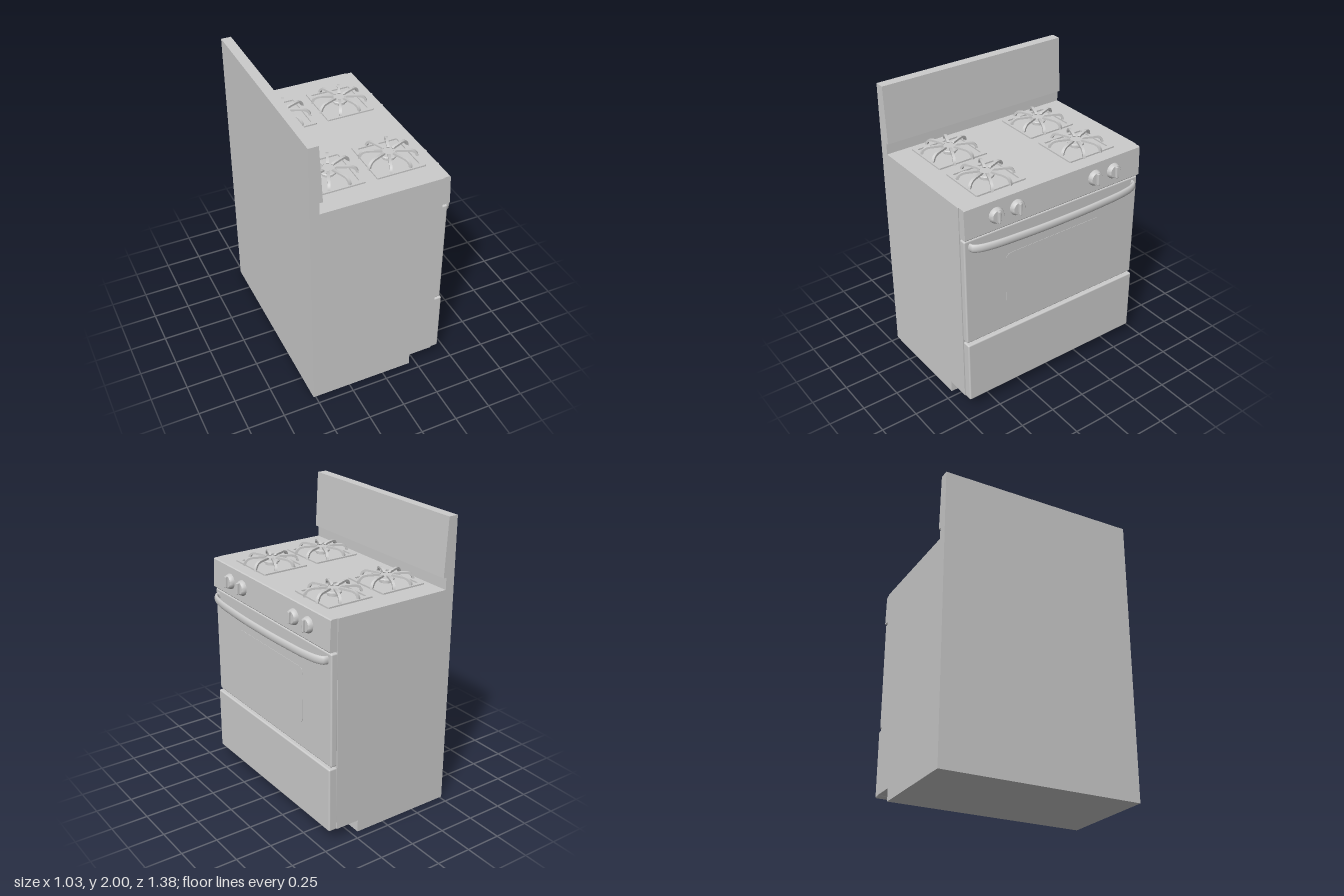
import * as THREE from 'three';
import { RoundedBoxGeometry } from 'three/addons/geometries/RoundedBoxGeometry.js';
import { toCreasedNormals } from 'three/addons/utils/BufferGeometryUtils.js';

const grey = new THREE.MeshStandardMaterial({ color: 0xcccccc });

function add(parent, name, geometry, x = 0, y = 0, z = 0) {
  const mesh = new THREE.Mesh(geometry, grey);
  mesh.name = name;
  mesh.position.set(x, y, z);
  parent.add(mesh);
  return mesh;
}

// Extrude an x-y outline along z, centred on z = 0
function slab(points, depth) {
  const shape = new THREE.Shape(points.map(([x, y]) => new THREE.Vector2(x, y)));
  return new THREE.ExtrudeGeometry(shape, { depth, bevelEnabled: false }).translate(0, 0, -depth / 2);
}

// Front plate between two x and two y limits, with softened edges
function plate(x0, x1, y0, y1, width) {
  return new RoundedBoxGeometry(x1 - x0, y1 - y0, width, 3, 0.01)
    .translate((x0 + x1) / 2, (y0 + y1) / 2, 0);
}

function roundedRect(w, h, r) {
  const s = new THREE.Shape();
  const x = w / 2 - r, y = h / 2 - r;
  s.absarc(x, y, r, 0, Math.PI / 2);
  s.absarc(-x, y, r, Math.PI / 2, Math.PI);
  s.absarc(-x, -y, r, Math.PI, Math.PI * 1.5);
  s.absarc(x, -y, r, Math.PI * 1.5, Math.PI * 2);
  return s;
}

// Square trim, burner and eight arched fingers
function createBurner() {
  const burner = new THREE.Group();
  burner.name = 'burner';

  const frame = roundedRect(0.333, 0.363, 0.008);
  frame.holes.push(roundedRect(0.275, 0.305, 0.006));
  const frameGeo = new THREE.ExtrudeGeometry(frame, { depth: 0.01, bevelEnabled: false, curveSegments: 3 });
  add(burner, 'grateFrame', frameGeo.rotateX(-Math.PI / 2));

  const cap = [[0, 0], [0.04, 0], [0.04, 0.015], [0.053, 0.017], [0.053, 0.026], [0.047, 0.031], [0, 0.031]]
    .map(([r, y]) => new THREE.Vector2(r, y));
  add(burner, 'burnerCap', toCreasedNormals(new THREE.LatheGeometry(cap, 32), 0.5));

  // Arched band: flat near the middle, bending down to the frame
  const arch = new THREE.Shape();
  arch.moveTo(0.187, 0);
  arch.bezierCurveTo(0.187, 0.035, 0.165, 0.058, 0.12, 0.058);
  arch.lineTo(0.05, 0.058);
  arch.lineTo(0.038, 0.05);
  arch.lineTo(0.042, 0.044);
  arch.lineTo(0.118, 0.044);
  arch.bezierCurveTo(0.155, 0.044, 0.171, 0.028, 0.171, 0);
  const finger = toCreasedNormals(
    new THREE.ExtrudeGeometry(arch, { depth: 0.018, bevelEnabled: false, curveSegments: 8 }).translate(0, 0, -0.009), 0.6);
  for (let i = 0; i < 8; i++) {
    add(burner, 'grateFinger', finger).rotation.y = (i + 0.5) * Math.PI / 4;
  }
  return burner;
}

// Round knob with a raised grip, its axis along +x
function createKnob() {
  const knob = new THREE.Group();
  knob.name = 'knob';
  const profile = [[0, 0], [0.052, 0], [0.052, 0.008], [0.044, 0.026], [0.04, 0.03], [0, 0.03]]
    .map(([r, y]) => new THREE.Vector2(r, y));
  add(knob, 'knobDial', toCreasedNormals(new THREE.LatheGeometry(profile, 32).rotateZ(-Math.PI / 2), 0.5));
  add(knob, 'knobGrip', new RoundedBoxGeometry(0.035, 0.08, 0.018, 2, 0.005), 0.03);
  return knob;
}

// Bowed bar with a flattened oval section
function createHandle() {
  const half = [[0.405, 0.645], [0.435, 0.64], [0.458, 0.6], [0.478, 0.5], [0.49, 0.33], [0.497, 0.15]];
  const points = [...half, [0.498, 0], ...half.map(([x, z]) => [x, -z]).reverse()];
  const path = new THREE.CatmullRomCurve3(points.map(([x, z]) => new THREE.Vector3(x, 0, z)));
  const bar = new THREE.TubeGeometry(path, 80, 0.014, 16);
  return bar.scale(1, 2, 1);
}

export function createModel() {
  const stove = new THREE.Group();
  stove.name = 'stove';

  // Cabinet with toe recess
  add(stove, 'cabinet', slab([[-0.515, 0], [0.205, 0], [0.205, 0.085], [0.372, 0.085],
    [0.372, 1.53], [-0.515, 1.53]], 1.384));

  // Back panel, stepped and leaning
  add(stove, 'backguard', slab([[-0.515, 1.53], [-0.45, 1.53], [-0.45, 1.61], [-0.428, 1.61],
    [-0.448, 2], [-0.515, 2]], 1.384));

  // Front panels
  add(stove, 'controlPanel', slab([[0.372, 1.322], [0.424, 1.322], [0.428, 1.328], [0.419, 1.524],
    [0.413, 1.53], [0.372, 1.53]], 1.372));
  add(stove, 'ovenDoor', plate(0.365, 0.415, 0.545, 1.31, 1.372));
  add(stove, 'drawer', plate(0.365, 0.428, 0.08, 0.533, 1.372));

  // Oven window
  const pane = new THREE.ExtrudeGeometry(roundedRect(0.76, 0.385, 0.035), { depth: 0.004, bevelEnabled: false });
  add(stove, 'ovenWindow', pane.rotateY(Math.PI / 2), 0.413, 0.917, 0);

  add(stove, 'doorHandle', createHandle(), 0, 1.263, 0);

  for (const z of [-0.46, -0.305, 0.305, 0.46]) {
    const knob = createKnob();
    knob.position.set(0.423, 1.427, z);
    knob.rotation.z = 0.046;
    stove.add(knob);
  }

  for (const x of [-0.243, 0.167]) {
    for (const z of [-0.357, 0.353]) {
      const burner = createBurner();
      burner.position.set(x, 1.53, z);
      stove.add(burner);
    }
  }
  return stove;
}
